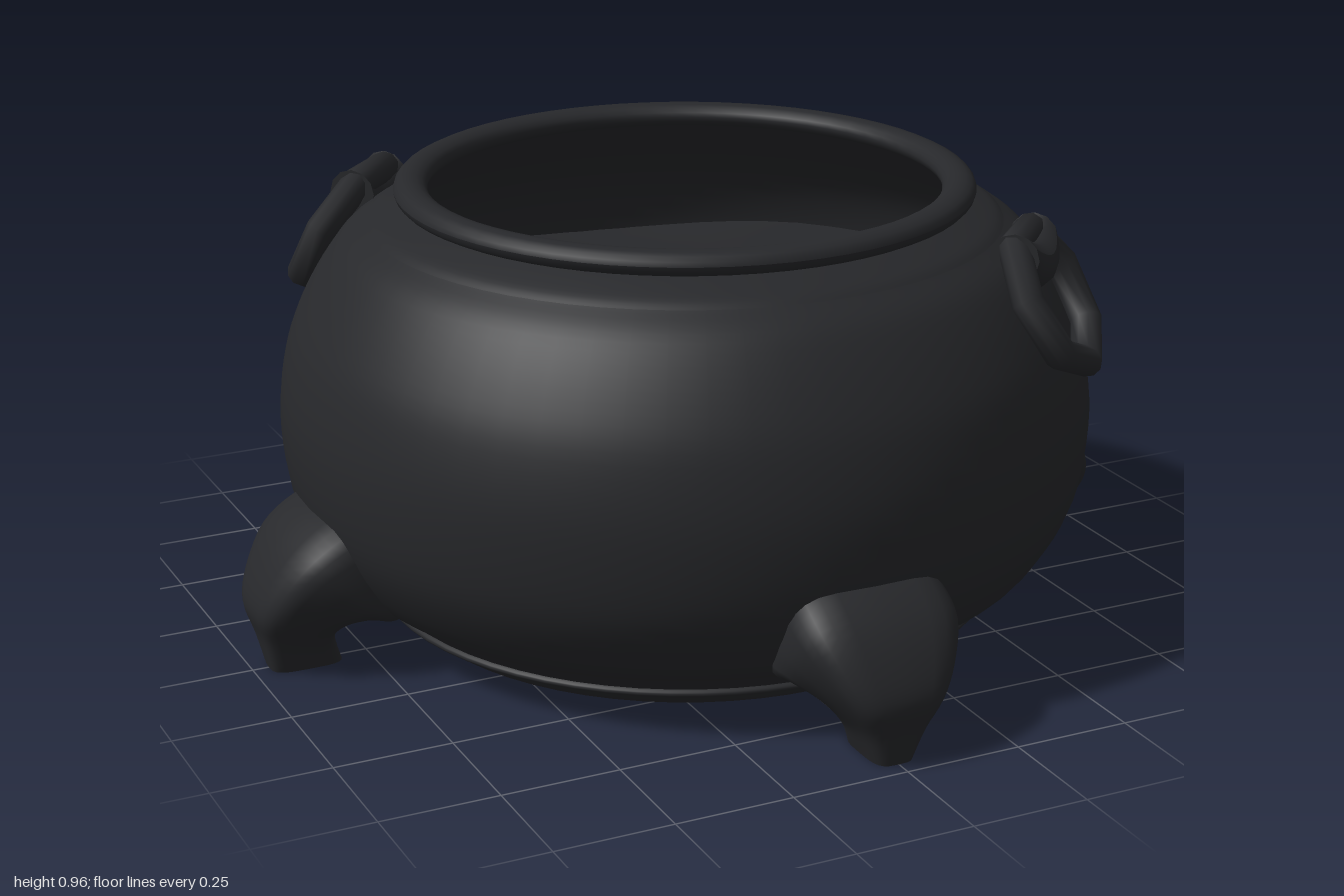
import * as THREE from 'three';

const iron = new THREE.MeshStandardMaterial({ color: 0x27282b, side: THREE.DoubleSide });
const blue = new THREE.MeshStandardMaterial({ color: 0x6a78d8 });

function add(parent, name, geometry, material = iron) {
  const mesh = new THREE.Mesh(geometry, material);
  mesh.name = name;
  parent.add(mesh);
  return mesh;
}

const lathe = (pts) => new THREE.LatheGeometry(pts.map(([r, y]) => new THREE.Vector2(r, y)), 64);
const smooth = (pts, n) => new THREE.SplineCurve(pts.map(([r, y]) => new THREE.Vector2(r, y)))
  .getPoints(n).map((p) => [p.x, p.y]);

// Leg: rounded-square cross-sections swept out of the belly and down to the ground.
function legGeometry() {
  // outer line: radius, height, half width; inner line: radius, height
  const outer = [
    [0.78, 0.365, 0.165], [0.86, 0.338, 0.178], [0.93, 0.283, 0.172], [0.982, 0.2, 0.135],
    [1.0, 0.135, 0.1], [0.982, 0.07, 0.068], [0.965, 0, 0.045],
  ];
  const inner = [
    [0.66, 0.14], [0.72, 0.1], [0.775, 0.115], [0.812, 0.105], [0.832, 0.08], [0.825, 0.045], [0.81, 0],
  ];
  const curve = (pts) => new THREE.CatmullRomCurve3(pts.map(([r, y, w = 0]) => new THREE.Vector3(r, y, w)));
  const outerCurve = curve(outer), innerCurve = curve(inner);
  const rows = 24, sides = 24, pos = [], index = [];
  const power = (v) => Math.sign(v) * Math.abs(v) ** 0.55;
  for (let r = 0; r <= rows; r++) {
    const o = outerCurve.getPoint(r / rows), n = innerCurve.getPoint(r / rows);
    for (let i = 0; i < sides; i++) {
      const a = (i / sides) * Math.PI * 2;
      const t = (1 + power(Math.cos(a))) / 2;
      pos.push(o.z * power(Math.sin(a)), n.y + (o.y - n.y) * t, n.x + (o.x - n.x) * t);
    }
  }
  for (let r = 0; r < rows; r++) {
    for (let i = 0; i < sides; i++) {
      const a = r * sides + i, b = r * sides + (i + 1) % sides;
      index.push(a, a + sides, b, b, a + sides, b + sides);
    }
  }
  // flat sole with its own vertices
  const start = pos.length / 3;
  pos.push(...pos.slice(-sides * 3));
  for (let i = 1; i < sides - 1; i++) index.push(start, start + i + 1, start + i);
  const g = new THREE.BufferGeometry();
  g.setAttribute('position', new THREE.Float32BufferAttribute(pos, 3));
  g.setIndex(index);
  g.computeVertexNormals();
  return g;
}

// Gently rippled surface of the contents
function liquidGeometry(radius) {
  const g = new THREE.RingGeometry(0.001, radius, 48, 14);
  g.rotateX(-Math.PI / 2);
  const p = g.attributes.position;
  for (let i = 0; i < p.count; i++) {
    const x = p.getX(i), z = p.getZ(i);
    p.setY(i, 0.016 * Math.sin(6 * x + 1) * Math.cos(5 * z) + 0.01 * Math.sin(9 * z - 4 * x));
  }
  g.computeVertexNormals();
  return g;
}

// Lug: a short bar whose ends curl upward
function lugGeometry() {
  const g = new THREE.CylinderGeometry(0.052, 0.052, 0.17, 12, 8);
  g.rotateZ(Math.PI / 2);
  const p = g.attributes.position;
  for (let i = 0; i < p.count; i++) p.setY(i, p.getY(i) + 5 * p.getX(i) ** 2);
  g.computeVertexNormals();
  return g;
}

// Seven-sided ring hanging from a lug, lying against the shoulder
function createHandle() {
  const handle = new THREE.Group();
  handle.name = 'ringHandle';
  const tilted = new THREE.Group();
  tilted.name = 'handleParts';
  tilted.position.set(0, 0.765, 0.8);
  tilted.rotation.x = -Math.PI / 6;
  handle.add(tilted);
  const ring = add(tilted, 'handleRing', new THREE.TorusGeometry(0.153, 0.034, 10, 7));
  ring.rotation.z = -Math.PI / 2;
  const lug = add(tilted, 'handleLug', lugGeometry());
  lug.position.set(0, 0.08, -0.005);
  return handle;
}

export function createModel() {
  const model = new THREE.Group();
  model.name = 'cauldron';

  // Belly with shoulder, outside and inside
  add(model, 'body', lathe(smooth([
    [0.66, 0.06], [0.71, 0.1], [0.78, 0.16], [0.85, 0.29], [0.871, 0.46], [0.849, 0.61],
    [0.803, 0.72], [0.737, 0.82], [0.675, 0.868],
  ], 40)));
  add(model, 'shoulderStep', lathe(smooth([[0.675, 0.868], [0.655, 0.882], [0.61, 0.9], [0.575, 0.912]], 10)));
  add(model, 'innerWall', lathe(smooth([
    [0.815, 0.5], [0.81, 0.6], [0.77, 0.71], [0.7, 0.8], [0.63, 0.86], [0.555, 0.92],
  ], 20).reverse()));

  // Rounded lip
  const rim = [];
  for (let i = 0; i <= 16; i++) {
    const a = (i / 16) * Math.PI * 2;
    rim.push([0.58 + 0.036 * Math.cos(a), 0.935 + 0.026 * Math.sin(a)]);
  }
  add(model, 'rim', lathe(rim));

  // Foot ring and recessed underside
  add(model, 'footRing', lathe(smooth([
    [0.545, 0.025], [0.555, 0.006], [0.58, 0.002], [0.615, 0.012], [0.645, 0.04], [0.67, 0.05], [0.672, 0.06], [0.66, 0.068],
  ], 28)));
  const base = add(model, 'base', new THREE.CircleGeometry(0.55, 64));
  base.rotation.x = Math.PI / 2;
  base.position.y = 0.022;

  const liquid = add(model, 'liquid', liquidGeometry(0.815));
  liquid.position.y = 0.615;

  // Four legs
  const leg = legGeometry();
  for (let i = 0; i < 4; i++) add(model, 'leg', leg).rotation.y = (i * Math.PI) / 2;

  // Two opposite ring handles
  for (const turn of [0.25, 1.25]) {
    const handle = createHandle();
    handle.rotation.y = turn * Math.PI;
    model.add(handle);
  }

  // Two oval gems set in the belly
  for (const degrees of [96.4, 173.6]) {
    const mount = new THREE.Group();
    mount.name = 'gemMount';
    mount.rotation.y = THREE.MathUtils.degToRad(degrees);
    const gem = add(mount, 'gem', new THREE.SphereGeometry(1, 24, 16), blue);
    gem.scale.set(0.07, 0.04, 0.024);
    gem.position.set(0, 0.523, 0.862);
    model.add(mount);
  }
  return model;
}
